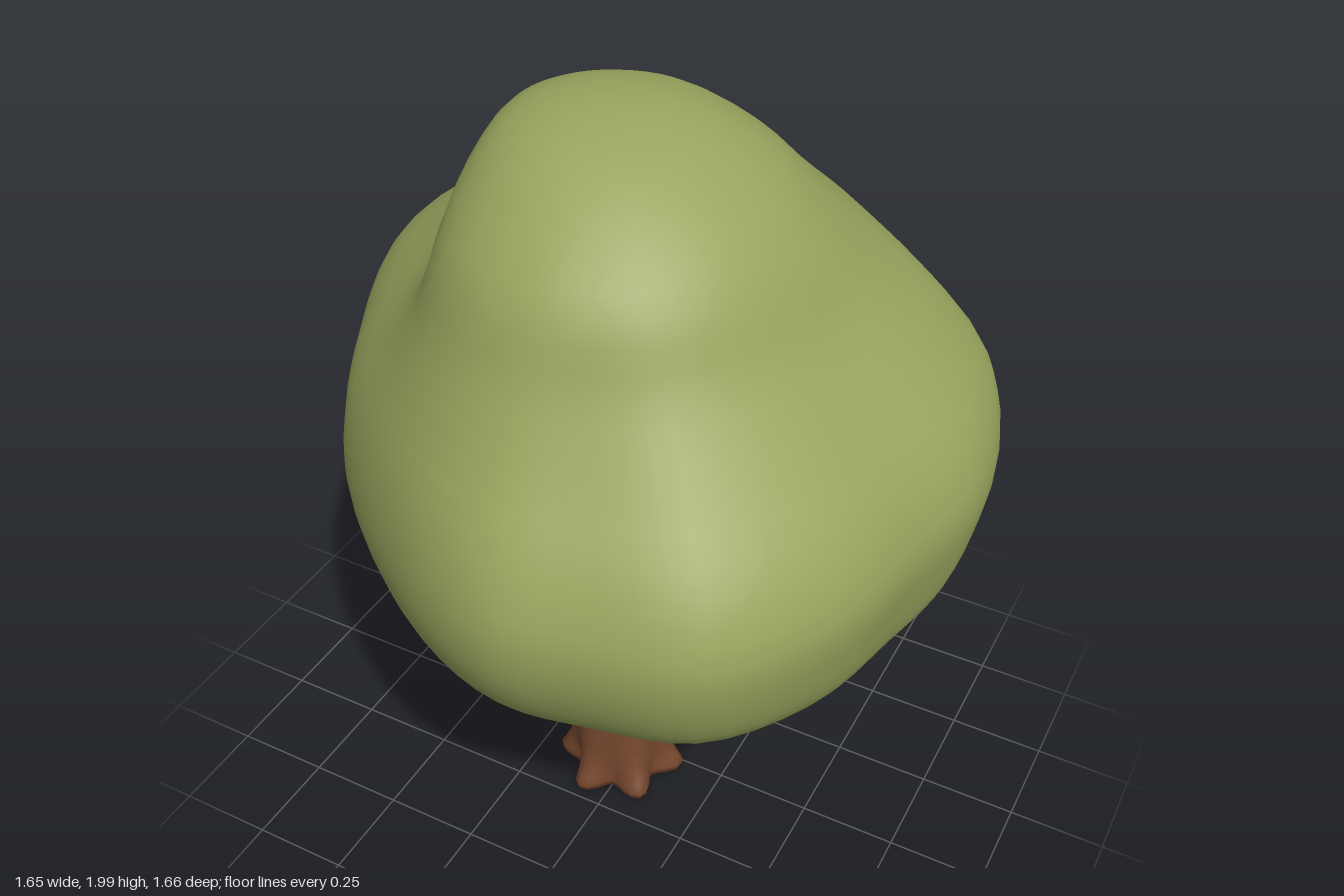
import * as THREE from 'three';

const leafGreen = new THREE.MeshStandardMaterial({ color: 0x98a45d });
const barkBrown = new THREE.MeshStandardMaterial({ color: 0x75472e });

// Skins closed rings of points, listed from bottom to top, into one smooth surface
function loft(rings) {
  const n = rings[0].length;
  const positions = rings.flat().flatMap((p) => [p.x, p.y, p.z]);
  const index = [];
  for (let r = 0; r < rings.length - 1; r++) {
    for (let i = 0; i < n; i++) {
      const a = r * n + i, b = r * n + ((i + 1) % n);
      index.push(a, a + n, b, a + n, b + n, b);
    }
  }
  const geometry = new THREE.BufferGeometry();
  geometry.setAttribute('position', new THREE.Float32BufferAttribute(positions, 3));
  geometry.setIndex(index);
  geometry.computeVertexNormals();
  return geometry;
}

// Hollows pressed into the crown: centre, reach along each axis, push
const hollows = [
  // between the dome and the side lobe
  { at: [-0.47, 1.56, 0.13], reach: [0.24, 0.24, 0.29], push: [0.12, 0, -0.04] },
  // under the two back corners
  { at: [0.48, 0.86, -0.55], reach: [0.3, 0.22, 0.3], push: [-0.06, 0.02, 0.07] },
  { at: [-0.5, 0.88, -0.48], reach: [0.3, 0.22, 0.3], push: [0.06, 0.02, 0.07] },
];

function pressHollows(p) {
  const start = p.toArray();
  for (const { at, reach, push } of hollows) {
    const d = start.reduce((sum, v, k) => sum + ((v - at[k]) / reach[k]) ** 2, 0);
    p.addScaledVector(new THREE.Vector3(...push), Math.exp(-d));
  }
  return p;
}

// Crown: a plan outline stretched to the extents at each height
function createCrown() {
  const outline = new THREE.CatmullRomCurve3([
    [-0.04, -0.82], [0.08, -0.83], [0.19, -0.82], [0.54, -0.62], [0.75, -0.42], [0.83, -0.1],
    [0.78, 0.18], [0.71, 0.46], [0.53, 0.72], [0.26, 0.8], [0.06, 0.83],
    [-0.2, 0.73], [-0.58, 0.42], [-0.73, 0.18], [-0.83, -0.12], [-0.75, -0.36], [-0.4, -0.62],
  ].map(([x, z]) => new THREE.Vector3(x / 0.83, 0, z / 0.83)), true).getPoints(68).slice(0, 68);

  // y, min x, max x, min z, max z
  const levels = [
    [0.61, 0, 0, 0.04, 0.04],
    [0.61, -0.22, 0.24, -0.16, 0.24],
    [0.67, -0.51, 0.45, -0.31, 0.47],
    [0.77, -0.66, 0.66, -0.5, 0.64],
    [0.88, -0.8, 0.77, -0.72, 0.75],
    [1.02, -0.83, 0.81, -0.82, 0.815],
    [1.16, -0.815, 0.825, -0.83, 0.825],
    [1.3, -0.8, 0.78, -0.82, 0.775],
    [1.44, -0.73, 0.67, -0.74, 0.68],
    [1.6, -0.58, 0.53, -0.59, 0.59],
    [1.75, -0.43, 0.43, -0.4, 0.53],
    [1.86, -0.35, 0.33, -0.29, 0.43],
    [1.95, -0.27, 0.19, -0.17, 0.3],
    [1.99, -0.16, 0.06, -0.04, 0.17],
    [2, -0.05, -0.05, 0.07, 0.07],
  ];
  const spanX = new THREE.CatmullRomCurve3(levels.map((l) => new THREE.Vector3(l[1], l[0], l[2])));
  const spanZ = new THREE.CatmullRomCurve3(levels.map((l) => new THREE.Vector3(l[3], l[0], l[4])));

  const rings = [];
  const steps = (levels.length - 1) * 3;
  for (let s = 0; s <= steps; s++) {
    const px = spanX.getPoint(s / steps), pz = spanZ.getPoint(s / steps);
    const y = px.y;
    // The plan is lobed in the middle and rounder toward the top and bottom
    const lobed = (1 - 0.9 * THREE.MathUtils.smoothstep(y, 1.25, 1.85))
      * (0.4 + 0.6 * THREE.MathUtils.smoothstep(y, 0.62, 0.95));
    rings.push(outline.map((o) => {
      const q = o.clone().normalize().lerp(o, lobed);
      return pressHollows(new THREE.Vector3(
        (px.x + px.z) / 2 + q.x * (px.z - px.x) / 2, y,
        (pz.x + pz.z) / 2 + q.z * (pz.z - pz.x) / 2));
    }));
  }
  return loft(rings);
}

// Trunk: tapered rings that spread into six rounded roots
function createTrunk() {
  // y, radius, root depth
  const levels = [
    [0.03, 0, 0], [0.008, 0.1, 0.02], [0.006, 0.138, 0.028], [0.025, 0.143, 0.031],
    [0.045, 0.136, 0.024], [0.08, 0.131, 0.012], [0.14, 0.127, 0.004],
    [0.35, 0.117, 0], [0.6, 0.106, 0], [0.72, 0.102, 0],
  ];
  return loft(levels.map(([y, radius, root]) => Array.from({ length: 48 }, (_, i) => {
    const a = (i / 48) * Math.PI * 2;
    const r = radius + root * Math.sin(6 * a);
    const shift = 0.013 * (1 - Math.min(1, y / 0.2));
    return new THREE.Vector3(-0.04 + shift + r * Math.sin(a), y, 0.05 + shift - r * Math.cos(a));
  })));
}

export function createModel() {
  const tree = new THREE.Group();
  tree.name = 'tree';
  const crown = new THREE.Mesh(createCrown(), leafGreen);
  crown.name = 'crown';
  const trunk = new THREE.Mesh(createTrunk(), barkBrown);
  trunk.name = 'trunk';
  tree.add(crown, trunk);
  return tree;
}
